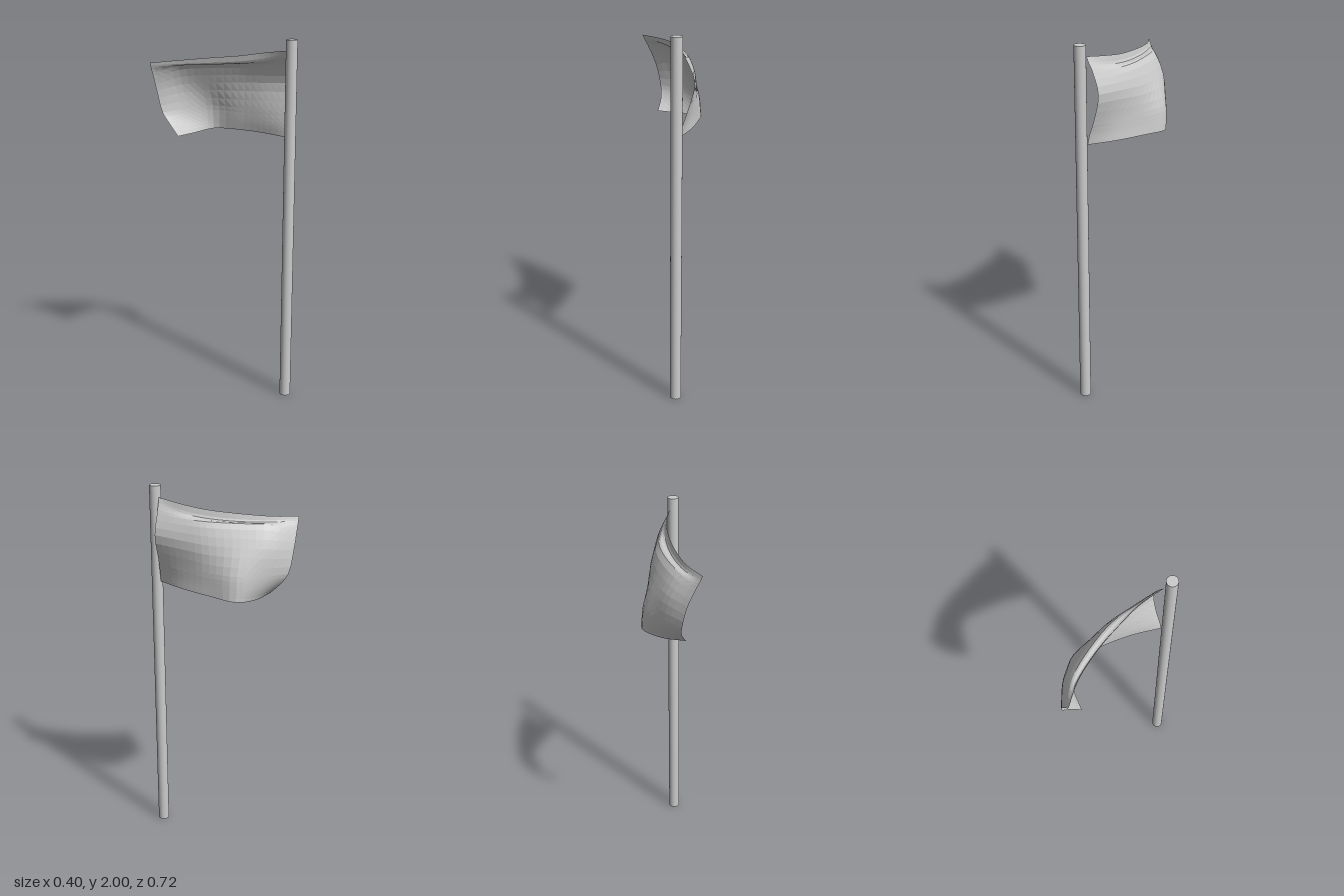
import * as THREE from 'three';

// Flag rows from top lip to bottom edge; each runs from the hoist to the fly
const ROWS = [
  [[.13, 1.94, .30], [.113, 1.92, .165], [.07, 1.9, .045], [0, 1.885, -.10], [-.1, 1.87, -.25], [-.2, 1.862, -.343]],
  [[.14, 1.915, .296], [.124, 1.878, .165], [.083, 1.858, .045], [.012, 1.847, -.105], [-.09, 1.842, -.255], [-.192, 1.84, -.346]],
  [[.165, 1.865, .287], [.145, 1.855, .16], [.112, 1.85, .02], [.036, 1.845, -.13], [-.062, 1.836, -.264], [-.172, 1.8, -.351]],
  [[.2, 1.76, .28], [.178, 1.75, .13], [.15, 1.74, -.02], [.085, 1.735, -.17], [-.003, 1.725, -.287], [-.13, 1.7, -.358]],
  [[.167, 1.62, .285], [.165, 1.61, .13], [.163, 1.6, -.03], [.138, 1.6, -.183], [.035, 1.59, -.275], [-.1, 1.58, -.347]],
  [[.142, 1.54, .295], [.16, 1.535, .13], [.165, 1.53, -.03], [.148, 1.525, -.187], [.04, 1.52, -.26], [-.09, 1.52, -.307]],
  [[.13, 1.485, .30], [.16, 1.482, .14], [.168, 1.477, -.04], [.152, 1.468, -.186], [.035, 1.457, -.236], [-.096, 1.46, -.246]],
];

const curveThrough = (points) => new THREE.CatmullRomCurve3(points, false, 'centripetal');

// Lofted cloth: a plane whose vertices follow curves drawn across the rows
function makeFlag(material) {
  const cols = 20, rows = 18;
  const geometry = new THREE.PlaneGeometry(1, 1, cols, rows);
  const position = geometry.attributes.position;
  const rails = ROWS.map((row) => curveThrough(row.map((p) => new THREE.Vector3(...p))));
  for (let i = 0; i <= cols; i++) {
    const section = curveThrough(rails.map((rail) => rail.getPoint(i / cols)));
    for (let j = 0; j <= rows; j++) {
      const p = section.getPoint(j / rows);
      position.setXYZ(j * (cols + 1) + i, p.x, p.y, p.z);
    }
  }
  geometry.computeVertexNormals();
  const flag = new THREE.Mesh(geometry, material);
  flag.name = 'flag';
  return flag;
}

export function createModel() {
  const model = new THREE.Group();
  model.name = 'flagOnPole';

  // Pole
  const pole = new THREE.Mesh(
    new THREE.CylinderGeometry(.03, .03, 2, 32),
    new THREE.MeshStandardMaterial({ color: 0xcccccc })
  );
  pole.name = 'pole';
  pole.position.set(.12, 1, .33);
  model.add(pole);

  // Waving cloth
  model.add(makeFlag(new THREE.MeshStandardMaterial({
    color: 0xcccccc, flatShading: true, side: THREE.DoubleSide,
  })));
  return model;
}
